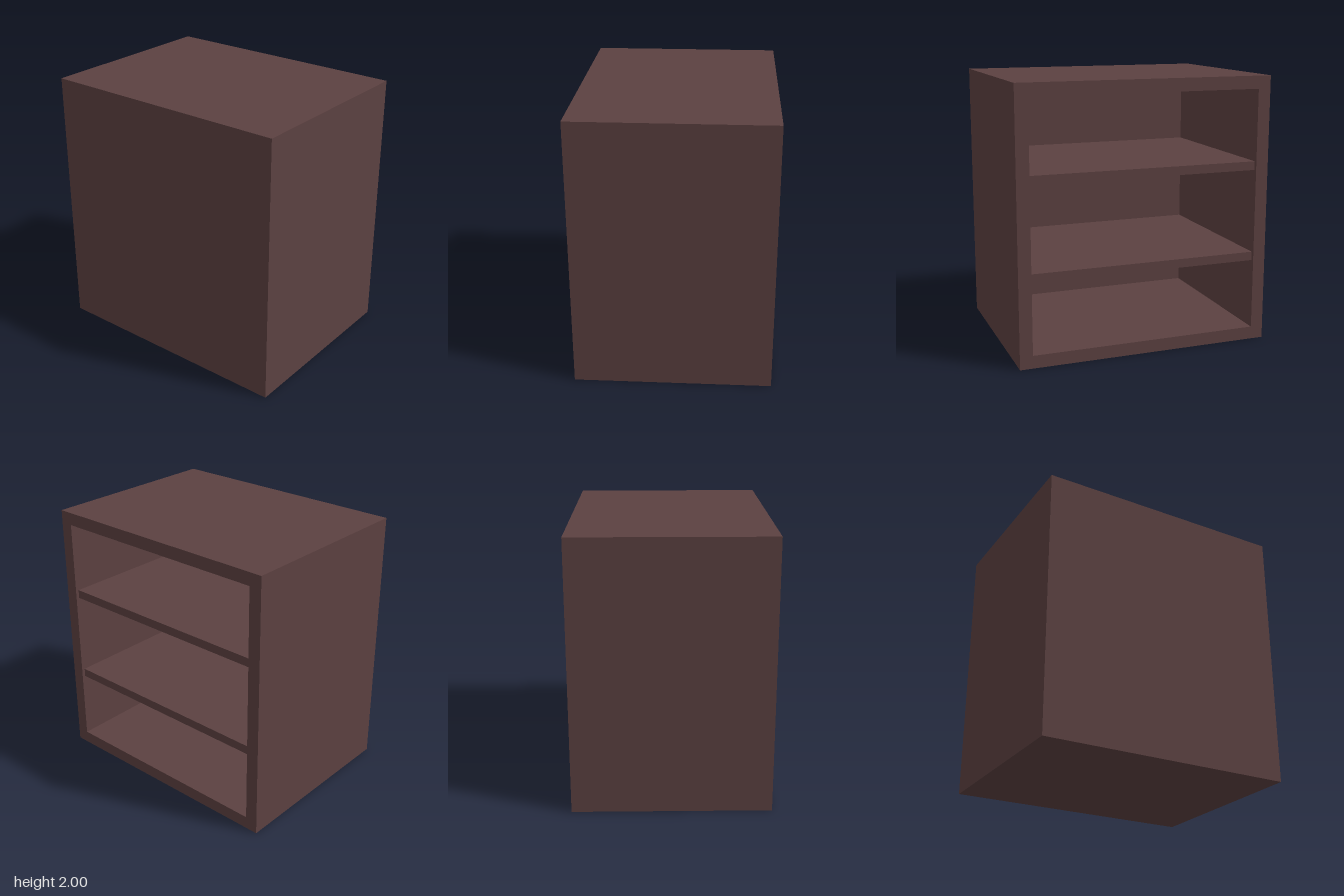
import * as THREE from 'three';

const W = 1.91, H = 2, D = 1.44;   // outer size
const T = 0.095;                   // wall thickness
const SHELF_T = 0.065, RECESS = 0.025;

export function createModel() {
  const group = new THREE.Group();
  group.name = 'openBackCabinet';
  const wood = new THREE.MeshStandardMaterial({ color: 0x5c4141 });
  wood.name = 'dark brown wood';

  const add = (name, geometry, x, y, z) => {
    const mesh = new THREE.Mesh(geometry, wood);
    mesh.name = name;
    mesh.position.set(x, y, z);
    group.add(mesh);
  };

  // Rectangle outline, inset from the outer edges
  const outline = (path, inset) => {
    const x = W / 2 - inset, lo = inset, hi = H - inset;
    path.moveTo(-x, lo);
    path.lineTo(x, lo);
    path.lineTo(x, hi);
    path.lineTo(-x, hi);
    path.closePath();
    return path;
  };

  // Sides, top and floor as one frame, open at the back
  const frame = outline(new THREE.Shape(), 0);
  frame.holes.push(outline(new THREE.Path(), T));
  add('carcass', new THREE.ExtrudeGeometry(frame, { depth: D - T, bevelEnabled: false }), 0, 0, -D / 2);

  // Closed front
  add('frontPanel', new THREE.BoxGeometry(W, H, T), 0, H / 2, D / 2 - T / 2);

  // Two shelves, set slightly in from the open back
  const shelfDepth = D - T - RECESS;
  [0.648, 1.338].forEach((y, i) => {
    add(i ? 'upperShelf' : 'lowerShelf', new THREE.BoxGeometry(W - 2 * T, SHELF_T, shelfDepth),
      0, y, -D / 2 + RECESS + shelfDepth / 2);
  });

  return group;
}
